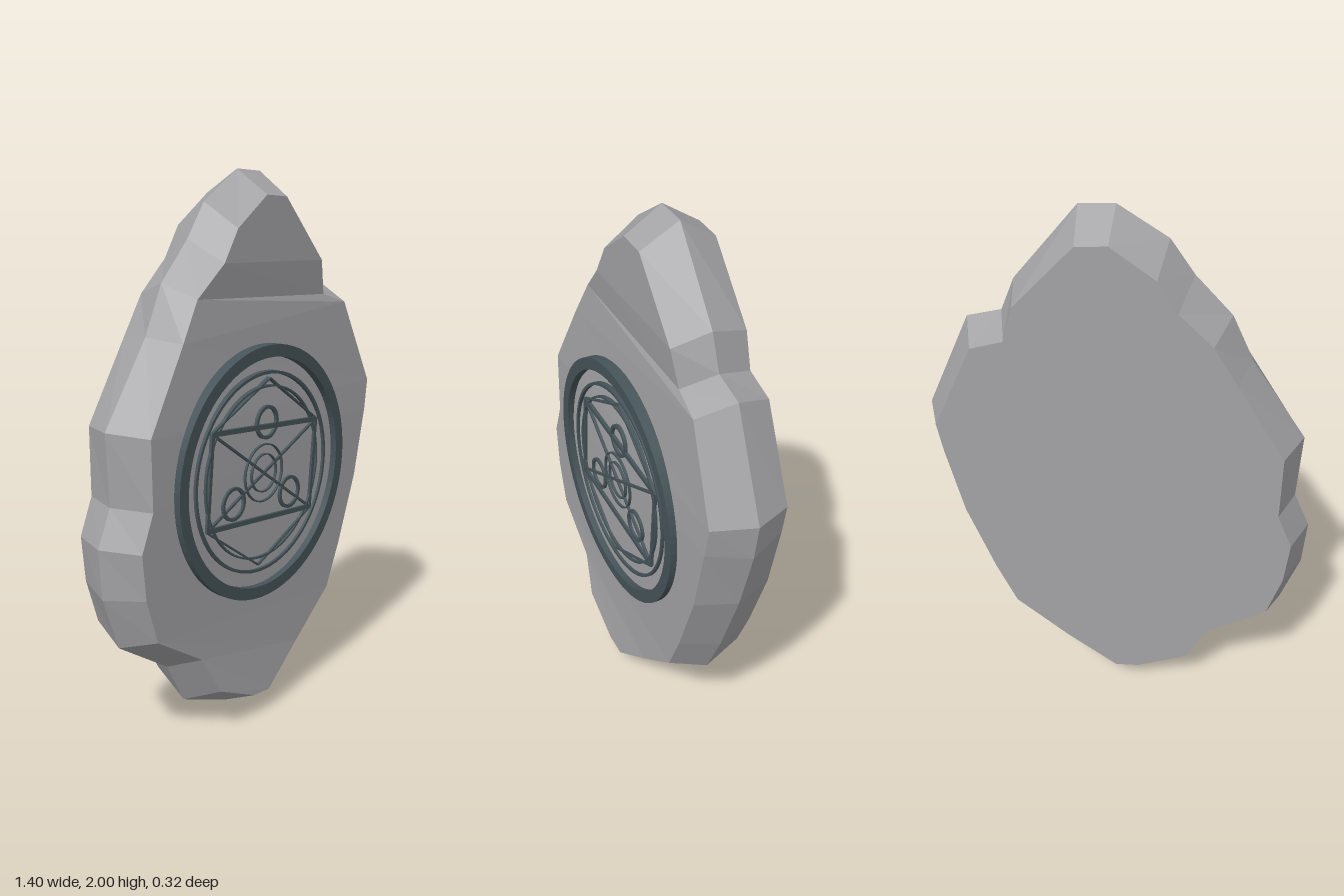
import * as THREE from 'three';

// Stone outline, clockwise from the top: [outer x, outer y, face x, face y]
const OUTLINE = [
  [0.01, 2.0, 0.01, 1.915], [0.135, 1.99, 0.12, 1.905], [0.36, 1.71, 0.335, 1.67],
  [0.41, 1.585, 0.37, 1.54], [0.535, 1.55, 0.49, 1.5], [0.7, 1.18, 0.64, 1.175],
  [0.68, 1.04, 0.62, 1.06], [0.61, 0.79, 0.56, 0.8], [0.505, 0.51, 0.46, 0.535],
  [0.42, 0.325, 0.385, 0.37], [0.2, 0.16, 0.18, 0.21], [-0.01, 0, -0.01, 0.08],
  [-0.1, 0.02, -0.1, 0.09], [-0.32, 0.11, -0.29, 0.18], [-0.4, 0.27, -0.37, 0.33],
  [-0.63, 0.425, -0.585, 0.47], [-0.695, 0.62, -0.635, 0.635], [-0.705, 0.8, -0.65, 0.8],
  [-0.645, 0.93, -0.595, 0.93], [-0.655, 1.185, -0.595, 1.175], [-0.46, 1.47, -0.42, 1.455],
  [-0.38, 1.64, -0.335, 1.59], [-0.25, 1.775, -0.215, 1.7], [-0.165, 1.895, -0.145, 1.81],
];
// Front face depth for each row from top to bottom
const FRONT_Z = [0.12, 0.12, 0.12, 0.105, 0.118, 0.135, 0.138, 0.138, 0.138, 0.138, 0.142, 0.158, 0.16];

function stoneGeometry() {
  const n = OUTLINE.length;
  const row = (i) => Math.min(i, n - i);
  const front = OUTLINE.map((p, i) => [p[2], p[3], FRONT_Z[row(i)]]);
  const middle = OUTLINE.map((p, i) => [p[0], p[1], -0.015 + 0.025 * (row(i) / 12) ** 3]);
  const back = OUTLINE.map((p) => [p[2], p[3], -0.153]);
  const pos = [];
  const tri = (a, b, c) => pos.push(...a, ...b, ...c);
  const quad = (a, b, c, d) => {
    if (a !== d) tri(a, c, d);
    if (b !== c) tri(a, b, c);
  };
  // Bevelled rim
  for (let i = 0; i < n; i++) {
    const j = (i + 1) % n;
    quad(front[i], front[j], middle[j], middle[i]);
    quad(middle[i], middle[j], back[j], back[i]);
  }
  // Faces, in strips across the stone
  for (let k = 0; k < n / 2; k++) {
    const l = (n - k) % n, l2 = n - k - 1;
    quad(front[l], front[l2], front[k + 1], front[k]);
    quad(back[k], back[k + 1], back[l2], back[l]);
  }
  const g = new THREE.BufferGeometry();
  g.setAttribute('position', new THREE.Float32BufferAttribute(pos, 3));
  g.computeVertexNormals();
  return g;
}

// Flat ring (or polygon frame) rising from inside the stone up to height top
function ringGeometry(outer, inner, top, sides = 64, turn = 0) {
  const loop = (r) => Array.from({ length: sides }, (_, i) => {
    const a = turn + (i / sides) * Math.PI * 2;
    return new THREE.Vector2(r * Math.cos(a), r * Math.sin(a));
  });
  const shape = new THREE.Shape(loop(outer));
  shape.holes.push(new THREE.Path(loop(inner)));
  const g = new THREE.ExtrudeGeometry(shape, { depth: top - 0.1, bevelEnabled: false });
  return g.translate(0, 0, 0.1);
}

export function createModel() {
  const model = new THREE.Group();
  model.name = 'carvedStone';
  const stone = new THREE.MeshStandardMaterial({ color: 0xa3a2a5 });
  stone.name = 'grey stone';
  const metal = new THREE.MeshStandardMaterial({ color: 0x465459 });
  metal.name = 'dark slate';

  const slab = new THREE.Mesh(stoneGeometry(), stone);
  slab.name = 'stoneSlab';
  model.add(slab);

  const emblem = new THREE.Group();
  emblem.name = 'emblem';
  emblem.position.set(-0.03, 0.94, 0);
  model.add(emblem);

  const add = (name, geometry, x = 0, y = 0) => {
    const mesh = new THREE.Mesh(geometry, metal);
    mesh.name = name;
    mesh.position.set(x, y, 0);
    emblem.add(mesh);
    return mesh;
  };
  const TOP = 0.148;
  const TILT = THREE.MathUtils.degToRad(84.7);

  // Concentric rings
  add('outerRing', ringGeometry(0.466, 0.422, 0.163, 80));
  add('secondRing', ringGeometry(0.371, 0.36, TOP));
  add('thirdRing', ringGeometry(0.32, 0.313, TOP));
  add('centreRing', ringGeometry(0.108, 0.103, TOP, 48));
  add('innerCentreRing', ringGeometry(0.072, 0.067, TOP, 40));

  // Hexagon line
  add('hexagon', ringGeometry(0.348, 0.341, TOP, 6, TILT));

  // Three small rings around the centre
  for (let i = 0; i < 3; i++) {
    const a = TILT + (i * Math.PI * 2) / 3;
    add('smallRing', ringGeometry(0.062, 0.05, TOP, 32), 0.185 * Math.cos(a), 0.185 * Math.sin(a));
  }

  // Bars of the rectangle and its diagonals
  const corner = (i) => {
    const a = TILT + (i * Math.PI) / 3;
    return new THREE.Vector2(0.34 * Math.cos(a), 0.34 * Math.sin(a));
  };
  const bar = (name, i, j, width) => {
    const a = corner(i), b = corner(j);
    const g = new THREE.BoxGeometry(a.distanceTo(b), width, TOP - 0.1);
    g.translate(0, 0, (TOP + 0.1) / 2);
    const mesh = add(name, g, (a.x + b.x) / 2, (a.y + b.y) / 2);
    mesh.rotation.z = Math.atan2(b.y - a.y, b.x - a.x);
  };
  bar('topBar', 1, 5, 0.018);
  bar('bottomBar', 2, 4, 0.018);
  bar('sideBar', 1, 2, 0.014);
  bar('sideBar', 5, 4, 0.014);
  bar('diagonalBar', 1, 4, 0.008);
  bar('diagonalBar', 2, 5, 0.008);
  return model;
}
